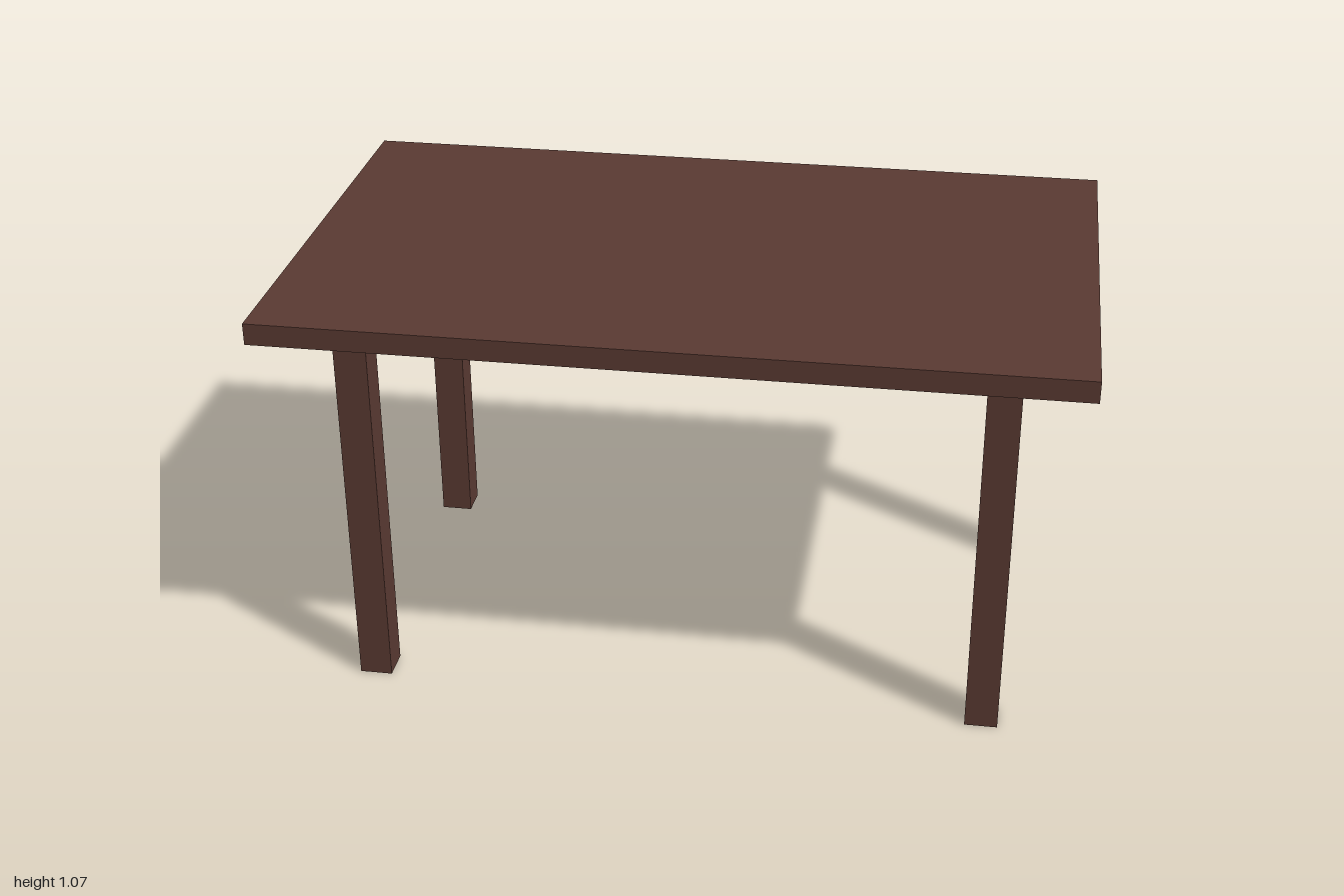
import * as THREE from 'three';

export function createModel() {
  const model = new THREE.Group();
  model.name = 'table';
  const wood = new THREE.MeshStandardMaterial({ color: 0x5b3b33 });
  wood.name = 'dark brown wood';

  const height = 1.065, topThickness = 0.055;
  const legHeight = height - topThickness, legWidth = 0.083;

  // Table top
  const top = new THREE.Mesh(new THREE.BoxGeometry(2, topThickness, 1.214), wood);
  top.name = 'tableTop';
  top.position.y = height - topThickness / 2;
  model.add(top);

  // Four square legs, set in from the corners
  const legGeometry = new THREE.BoxGeometry(legWidth, legHeight, legWidth);
  for (const [sideName, x] of [['Left', 0.79], ['Right', -0.79]]) {
    for (const [endName, z] of [['front', 0.43], ['back', -0.43]]) {
      const leg = new THREE.Mesh(legGeometry, wood);
      leg.name = `${endName}${sideName}Leg`;
      leg.position.set(x, legHeight / 2, z);
      model.add(leg);
    }
  }
  return model;
}
